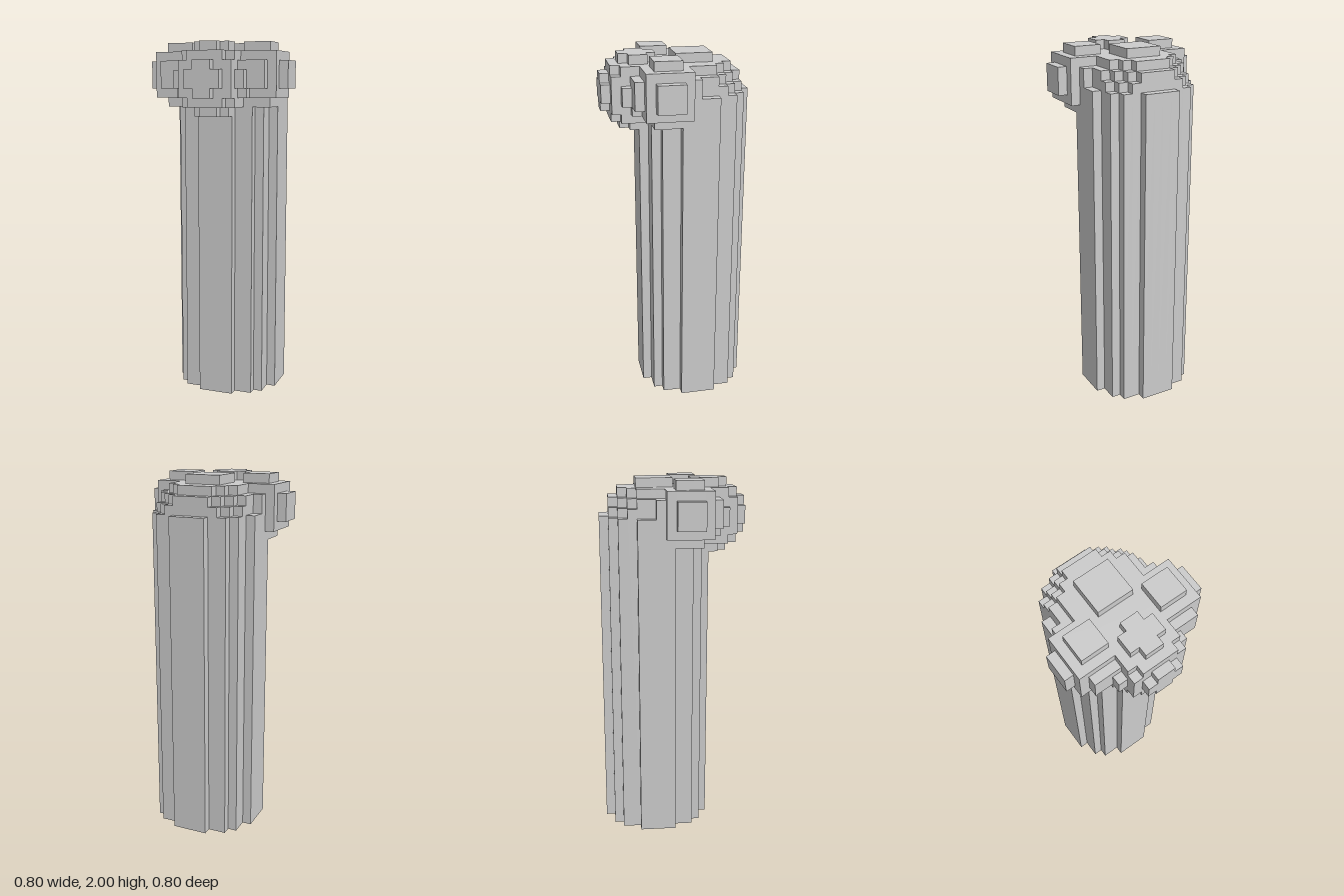
import * as THREE from 'three';

const CELL = 0.05; // edge length of one block

// Solids in block units: stepped balls, and a column that is a ball extended down to the ground
const PARTS = [
  { name: 'column', center: [0, 34, -2], radius: 6, toGround: true },
  { name: 'frontBall', center: [0, 36, 4], radius: 4 },
  { name: 'leftBall', center: [4.5, 36.5, 1.5], radius: 3.5 },
  { name: 'rightBall', center: [-4.5, 36.5, 1.5], radius: 3.5 },
];
const MIN = [-8, 0, -8], MAX = [8, 40, 8];

// Is the block at integer cell c inside the part?
function inside(part, c) {
  if (c[1] < 0) return false;
  const d = c.map((v, i) => v + 0.5 - part.center[i]);
  if (part.toGround) d[1] = Math.max(0, d[1]);
  return d[0] ** 2 + d[1] ** 2 + d[2] ** 2 < part.radius ** 2;
}

// Index of the first part that fills the cell, or -1 when empty
const owner = (c) => PARTS.findIndex((p) => inside(p, c));

// Outer skin of one part, with faces joined into long strips
function skin(index) {
  const positions = [];

  for (let axis = 0; axis < 3; axis++) {
    const u = (axis + 1) % 3, v = (axis + 2) % 3;
    const run = axis === 1 ? 0 : 1; // strips go up the sides, across the tops
    const across = 3 - axis - run;

    for (const sign of [-1, 1]) {
      const exposed = (c) => {
        if (owner(c) !== index) return false;
        const next = [...c];
        next[axis] += sign;
        return owner(next) < 0;
      };

      const addStrip = (start, length) => {
        const size = [1, 1, 1];
        size[run] = length;
        const corner = (a, b) => {
          const p = [...start];
          if (sign > 0) p[axis] += 1;
          p[u] += a * size[u];
          p[v] += b * size[v];
          return p.map((n) => n * CELL);
        };
        const q = [corner(0, 0), corner(1, 0), corner(1, 1), corner(0, 1)];
        if (sign < 0) q.reverse();
        for (const i of [0, 1, 2, 0, 2, 3]) positions.push(...q[i]);
      };

      for (let a = MIN[axis]; a < MAX[axis]; a++) {
        for (let b = MIN[across]; b < MAX[across]; b++) {
          let begin = null;
          for (let r = MIN[run]; r <= MAX[run]; r++) {
            const c = [0, 0, 0];
            c[axis] = a;
            c[across] = b;
            c[run] = r;
            const on = r < MAX[run] && exposed(c);
            if (on && !begin) begin = c;
            if (!on && begin) {
              addStrip(begin, r - begin[run]);
              begin = null;
            }
          }
        }
      }
    }
  }

  const geometry = new THREE.BufferGeometry();
  geometry.setAttribute('position', new THREE.Float32BufferAttribute(positions, 3));
  geometry.computeVertexNormals();
  return geometry;
}

export function createModel() {
  const model = new THREE.Group();
  model.name = 'blockColumn';
  const material = new THREE.MeshStandardMaterial({ color: 0xcccccc, flatShading: true });

  PARTS.forEach((part, i) => {
    const mesh = new THREE.Mesh(skin(i), material);
    mesh.name = part.name;
    model.add(mesh);
  });
  return model;
}
